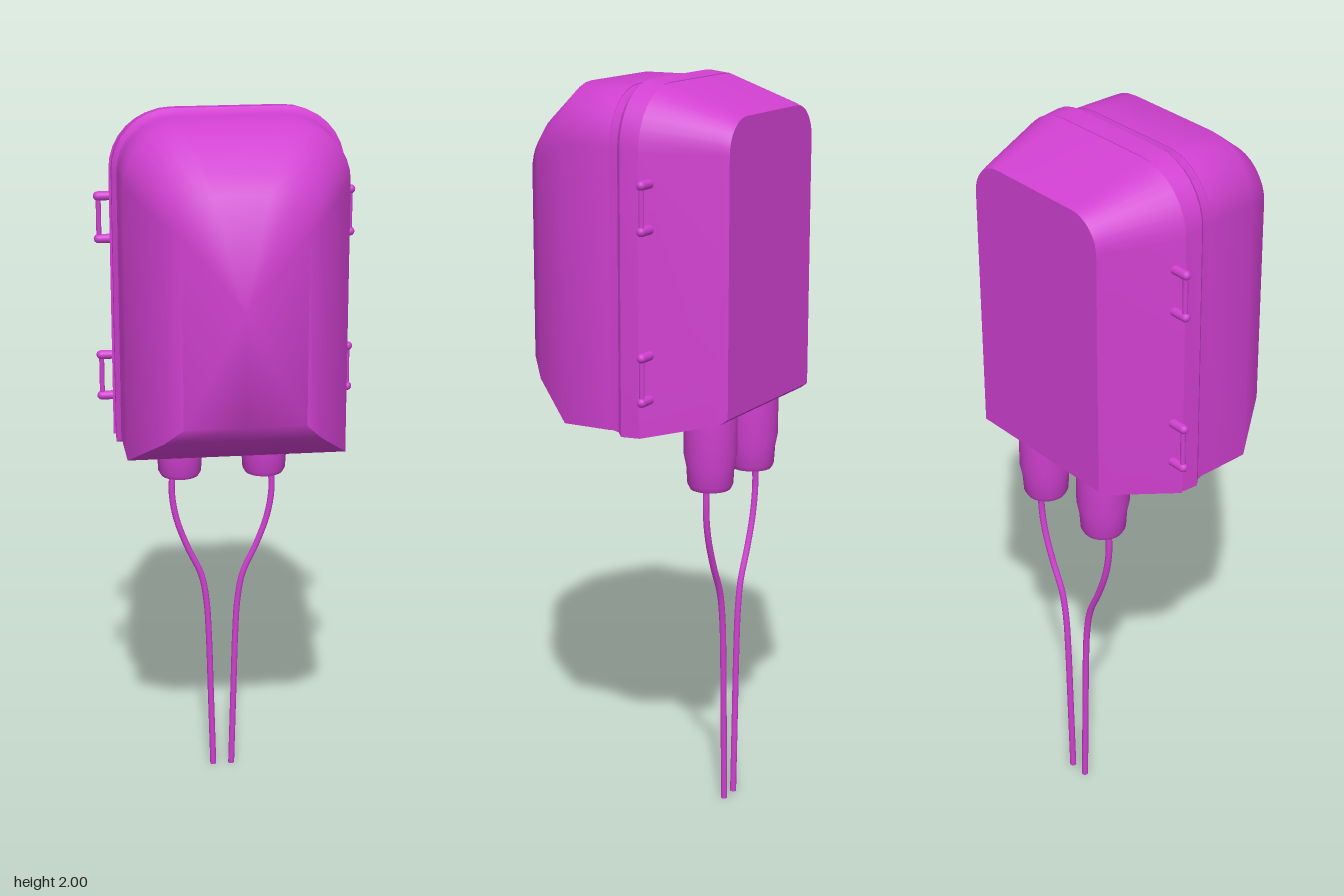
import * as THREE from 'three';
import { toCreasedNormals } from 'three/addons/utils/BufferGeometryUtils.js';

const ARC = 8;

// Arch outline, counter-clockwise from the front: square bottom, rounded top corners
function archRing([z, w, bottom, top, r]) {
  const ring = [[0, bottom, z], [w, bottom, z]];
  for (const [cx, start] of [[w - r, 0], [r - w, Math.PI / 2]]) {
    for (let i = 0; i <= ARC; i++) {
      const a = start + (i / ARC) * Math.PI / 2;
      ring.push([cx + r * Math.cos(a), top - r + r * Math.sin(a), z]);
    }
  }
  ring.push([-w, bottom, z]);
  return ring;
}

// Skin over arch sections running from back to front, closed at both ends
function loft(sections, crease) {
  const rings = sections.map(archRing);
  const n = rings[0].length;
  const last = rings.length - 1;
  const pos = rings.flat(2);
  const index = [];
  for (let i = 0; i < last; i++) {
    for (let j = 0; j < n; j++) {
      const k = (j + 1) % n;
      const a = i * n + j, b = i * n + k, c = b + n, d = a + n;
      index.push(a, b, c, a, c, d);
    }
  }
  const centre = n * rings.length;
  for (const s of [sections[0], sections[last]]) pos.push(0, (s[2] + s[3]) / 2, s[0]);
  for (let j = 0; j < n; j++) {
    const k = (j + 1) % n;
    index.push(centre, k, j, centre + 1, last * n + j, last * n + k);
  }
  const geo = new THREE.BufferGeometry();
  geo.setAttribute('position', new THREE.Float32BufferAttribute(pos, 3));
  geo.setIndex(index);
  return toCreasedNormals(geo, crease);
}

export function createModel() {
  const model = new THREE.Group();
  model.name = 'junctionBox';
  const material = new THREE.MeshStandardMaterial({ color: 0xd040d0 });

  function add(name, geometry, parent = model) {
    const mesh = new THREE.Mesh(geometry, material);
    mesh.name = name;
    parent.add(mesh);
    return mesh;
  }

  // Sections: z, half width, bottom, top, corner radius
  add('backHousing', loft([
    [-0.315, 0.233, 1.155, 1.92, 0.09],
    [-0.295, 0.24, 1.14, 1.928, 0.095],
    [-0.098, 0.312, 1.095, 1.992, 0.16],
  ], 0.87));
  add('rim', loft([
    [-0.098, 0.306, 1.094, 1.994, 0.16],
    [-0.042, 0.308, 1.092, 2.0, 0.16],
    [-0.028, 0.296, 1.1, 1.988, 0.15],
    [-0.003, 0.294, 1.104, 1.985, 0.15],
  ], 0.6));
  add('frontCover', loft([
    [-0.003, 0.294, 1.102, 1.987, 0.15],
    [0.14, 0.292, 1.102, 1.987, 0.15],
    [0.27, 0.205, 1.19, 1.89, 0.12],
    [0.315, 0.16, 1.24, 1.845, 0.1],
  ], 0.87));

  const glandProfile = [[0, 0.93], [0.054, 0.93], [0.061, 0.943], [0.064, 0.99],
    [0.071, 1.025], [0.071, 1.15], [0, 1.15]].map(([r, y]) => new THREE.Vector2(r, y));
  const wirePath = [[0.14, 0.95], [0.143, 0.87], [0.13, 0.79], [0.1, 0.705],
    [0.06, 0.615], [0.045, 0.53], [0.039, 0.43], [0.033, 0.22], [0.027, 0]];

  for (const side of [-1, 1]) {
    const label = side > 0 ? 'left' : 'right';

    // Cable gland and wire below the housing
    const gland = add(label + 'CableGland',
      toCreasedNormals(new THREE.LatheGeometry(glandProfile, 24), 0.7));
    gland.position.set(side * 0.12, 0, -0.205);

    const curve = new THREE.CatmullRomCurve3(
      wirePath.map(([x, y]) => new THREE.Vector3(side * x, y, -0.205)));
    add(label + 'Wire', new THREE.TubeGeometry(curve, 48, 0.009, 8));
    const wireEnd = add(label + 'WireEnd', new THREE.CircleGeometry(0.009, 8));
    wireEnd.rotation.x = Math.PI / 2;
    wireEnd.position.set(side * 0.027, 0, -0.205);

    // Two hinges per side: a pair of round-ended pegs joined by a thin pin
    for (const y of [1.698, 1.258]) {
      const hinge = new THREE.Group();
      hinge.name = label + (y > 1.5 ? 'UpperHinge' : 'LowerHinge');
      hinge.position.set(side * 0.313, y, -0.123);
      model.add(hinge);
      for (const dy of [-0.058, 0.058]) {
        const peg = add('hingePeg', new THREE.CapsuleGeometry(0.0125, 0.055, 4, 12), hinge);
        peg.rotation.z = Math.PI / 2;
        peg.position.y = dy;
      }
      const pin = add('hingePin', new THREE.CylinderGeometry(0.007, 0.007, 0.116, 10), hinge);
      pin.position.x = side * 0.026;
    }
  }
  return model;
}
